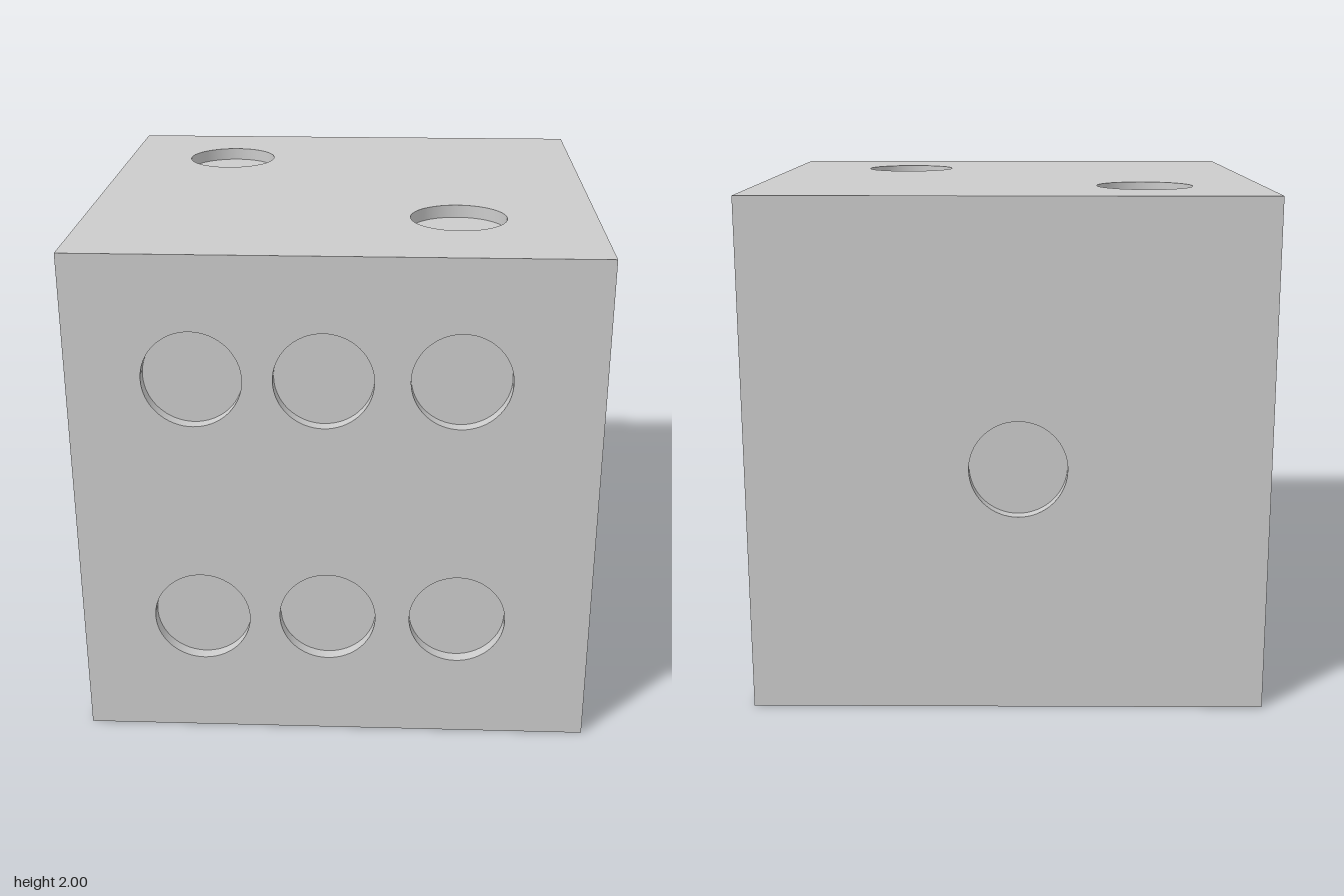
import * as THREE from 'three';

const HALF = 1, PIP_R = 0.188, PIP_DEPTH = 0.05, SEGMENTS = 64;

// Each face: rotation that turns +z outward, and pip centres in the face's own plane
const FACES = [
  { name: 'frontFace', rot: [0, 0], pips: [[-0.53, 0.52], [-0.04, 0.52], [0.47, 0.525], [-0.525, -0.49], [-0.03, -0.48], [0.48, -0.48]] },
  { name: 'rightFace', rot: [0, Math.PI / 2], pips: [[-0.47, 0.57], [0.04, 0.06], [0.53, -0.435]] },
  { name: 'backFace', rot: [0, Math.PI], pips: [[0.04, -0.03]] },
  { name: 'leftFace', rot: [0, -Math.PI / 2], pips: [[-0.51, 0.49], [0.52, 0.5], [-0.5, -0.5], [0.52, -0.5]] },
  { name: 'topFace', rot: [-Math.PI / 2, 0], pips: [[-0.535, 0.535], [0.46, -0.46]] },
  { name: 'bottomFace', rot: [Math.PI / 2, 0], pips: [[0.535, -0.515], [0.53, 0.48], [0.01, -0.01], [-0.5, -0.5], [-0.51, 0.505]] },
];

export function createModel() {
  const die = new THREE.Group();
  die.name = 'die';
  const material = new THREE.MeshStandardMaterial({ color: 0xcccccc });

  // Shared pip recess: inward-facing wall and flat floor
  const wallGeometry = new THREE.LatheGeometry(
    [new THREE.Vector2(PIP_R, 0), new THREE.Vector2(PIP_R, -PIP_DEPTH)], SEGMENTS).rotateX(Math.PI / 2);
  const floorGeometry = new THREE.CircleGeometry(PIP_R, SEGMENTS).translate(0, 0, -PIP_DEPTH);

  const addMesh = (parent, name, geometry) => {
    const mesh = new THREE.Mesh(geometry, material);
    mesh.name = name;
    parent.add(mesh);
  };

  for (const { name, rot, pips } of FACES) {
    const face = new THREE.Group();
    face.name = name;

    // Square panel with a round hole for every pip
    const square = new THREE.Shape([[-1, -1], [1, -1], [1, 1], [-1, 1]]
      .map(([x, y]) => new THREE.Vector2(x * HALF, y * HALF)));
    for (const [u, v] of pips) {
      square.holes.push(new THREE.Path().absarc(u, v, PIP_R, 0, Math.PI * 2, true));
    }
    const panel = new THREE.Group();
    panel.position.z = HALF;
    addMesh(panel, 'panel', new THREE.ShapeGeometry(square, SEGMENTS / 2));

    // Recessed pips
    for (const [u, v] of pips) {
      const pip = new THREE.Group();
      pip.name = 'pip';
      pip.position.set(u, v, 0);
      addMesh(pip, 'pipWall', wallGeometry);
      addMesh(pip, 'pipFloor', floorGeometry);
      panel.add(pip);
    }

    face.add(panel);
    face.rotation.set(rot[0], rot[1], 0);
    face.position.y = HALF;
    die.add(face);
  }
  return die;
}
